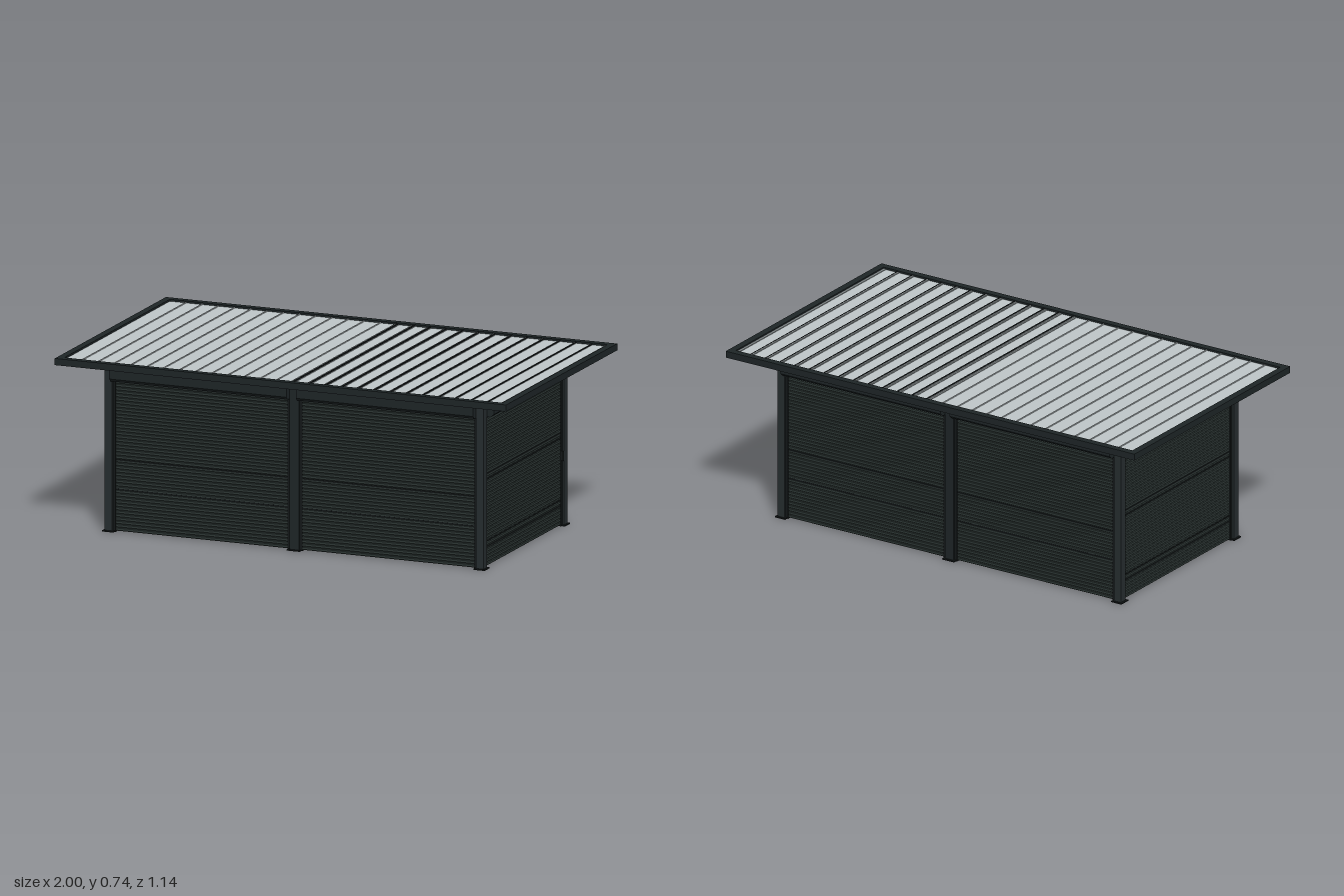
import * as THREE from 'three';

const mat = (name, color) => {
  const m = new THREE.MeshStandardMaterial({ color });
  m.name = name;
  return m;
};

export function createModel() {
  const wall = mat('shutter anthracite', 0x2e3836);
  const post = mat('post anthracite', 0x262d2f);
  const frame = mat('roof frame', 0x1e2527);
  const dark = mat('near black', 0x131718);
  const panel = mat('roof panel', 0xbfc7c9);
  const grey = mat('roof rib grey', 0x7d8485);

  const model = new THREE.Group();
  model.name = 'pavilion';
  const add = (parent, name, geo, material, x = 0, y = 0, z = 0) => {
    const m = new THREE.Mesh(geo, material);
    m.name = name;
    m.position.set(x, y, z);
    parent.add(m);
    return m;
  };
  const box = (parent, name, w, h, d, material, x, y, z) =>
    add(parent, name, new THREE.BoxGeometry(w, h, d), material, x, y, z);

  // Extrudes a (z, y) outline along x, centred on x = 0
  const alongX = (points, length) => {
    const shape = new THREE.Shape(points.map(([z, y]) => new THREE.Vector2(z, y)));
    const geo = new THREE.ExtrudeGeometry(shape, { depth: length, bevelEnabled: false });
    geo.translate(0, 0, -length / 2);
    return geo.rotateY(-Math.PI / 2).scale(-1, 1, -1).rotateY(Math.PI);
  };

  // Roof frame around the panel
  for (const s of [-1, 1]) {
    box(model, 'roofFrameLong', 2, 0.028, 0.03, frame, 0, 0.726, s * 0.555);
    box(model, 'roofFrameShort', 0.03, 0.028, 1.08, frame, s * 0.985, 0.726, 0);
  }
  box(model, 'roofPanel', 1.94, 0.012, 1.08, panel, 0, 0.726, 0);

  // Fine seams across the roof, with wide joints on the +x half
  const step = 1.94 / 27;
  for (let i = 1; i < 27; i++) {
    const x = -0.97 + i * step;
    box(model, 'roofSeam', 0.004, 0.004, 1.08, panel, x, 0.734, 0);
    if (x > 0) {
      const k = 1 - 0.6 * x;
      box(model, 'jointShade', 0.022 * k, 0.002, 1.08, grey, x, 0.733, 0);
      box(model, 'jointGap', 0.009 * k, 0.003, 1.08, dark, x + 0.004, 0.7355, 0);
    }
  }
  box(model, 'roofEndJoint', 0.012, 0.003, 1.08, grey, 0.964, 0.733, 0);

  // Posts on foot plates
  for (const z of [-1, 1]) {
    for (const x of [-1, 0, 1]) {
      const w = x ? 0.034 : 0.042;
      const px = x * 0.823;
      box(model, 'post', w, 0.712, 0.034, x ? post : frame, px, 0.356, z * 0.413);
      box(model, 'footPlate', w + 0.016, 0.005, 0.05, dark, px, 0.0025, z * 0.413);
    }
  }

  // Ribbed shutter profile: flat inside, shallow grooves outside
  const slats = 44, top = 0.635;
  const profile = [[-0.008, 0.004], [0.004, 0.004]];
  const h = (top - 0.004) / slats;
  for (let i = 0; i < slats; i++) {
    const y = 0.004 + i * h;
    profile.push([0.007, y + h * 0.2], [0.007, y + h * 0.8], [0.004, y + h]);
  }
  profile.push([-0.008, top]);
  const cassetteProfile = [[-0.01, 0.635], [0.035, 0.635], [0.05, 0.648], [0.05, 0.687], [-0.01, 0.687]];

  // One wall bay facing local +z
  const bay = (name, length, x, z, angle, cassette, bars) => {
    const g = new THREE.Group();
    g.name = name;
    g.position.set(x, 0, z);
    g.rotation.y = angle;
    model.add(g);
    add(g, 'shutter', alongX(profile, length), wall);
    for (const y of bars) box(g, 'shutterBar', length, 0.006, 0.002, dark, 0, y, 0.007);
    for (const s of [-1, 1]) box(g, 'guideRail', 0.012, top, 0.022, dark, s * (length / 2 - 0.006), top / 2, 0);
    box(g, 'topBeam', length, 0.077, 0.024, frame, 0, 0.6735, 0);
    if (cassette) add(g, 'shutterCassette', alongX(cassetteProfile, length), frame);
    return g;
  };
  for (const s of [-1, 1]) {
    const x = s * 0.4135;
    bay('frontBay', 0.785, x, 0.411, 0, true, [0.178, 0.302]);
    bay('backBay', 0.785, x, -0.411, Math.PI, true, [0.178, 0.302]);
  }
  const left = bay('leftBay', 0.792, 0.821, 0, Math.PI / 2, true, [0.085, 0.11, 0.37, 0.39]);
  bay('rightBay', 0.792, -0.821, 0, -Math.PI / 2, false, [0.085, 0.11, 0.37, 0.39]);
  box(left, 'handle', 0.008, 0.04, 0.012, dark, 0.388, 0.295, 0.014);

  return model;
}
